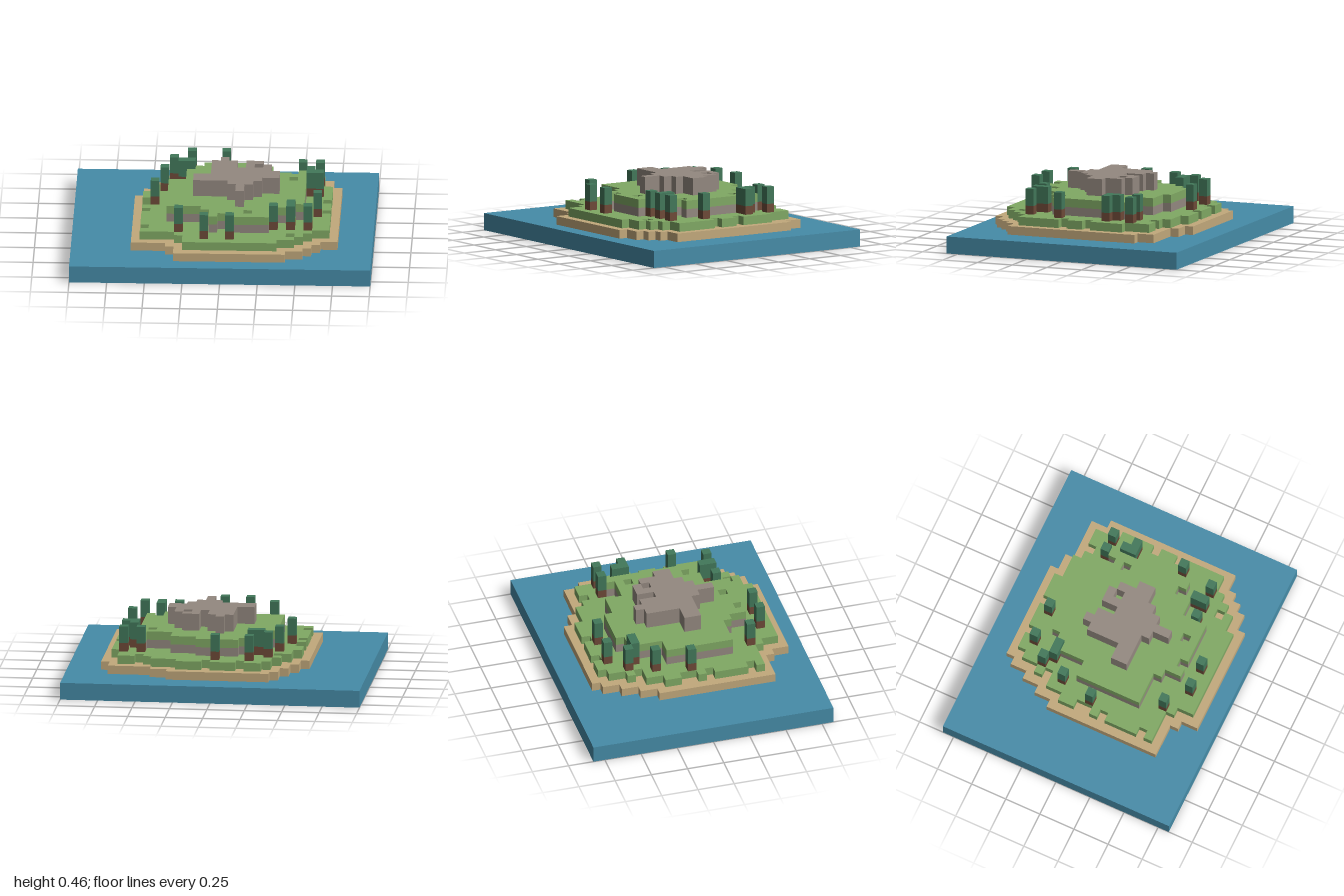
import * as THREE from 'three';

const CELL = 2 / 35, NX = 35, NZ = 29;

const mat = (name, color) => {
  const m = new THREE.MeshStandardMaterial({ color });
  m.name = name;
  return m;
};

// Footprints: one line per row of cells from back to front, "start-end" runs along x.
const BEACH = { first: 3, rows: `11-23|10-25|10-30|9-30|9-31|8-31|8-31|7-31|7-31|7-31|7-31|7-31|7-31
|7-31|7-31|7-31|7-31|7-31|7-31|7-31|7-29|11-28|12-27|12-25` };
const MEADOW = { first: 4, rows: `12-14,15-18,19-22|11-25|11-26,27-29|10-29|11-29|9-30|9-30|8-30|8-30|9-29
|9-30|8-30|9-29|8-30|8-30|8-30|8-30|9-30|8-28|12-25,26-27|13-26|13-24` };
const PLATEAU = { first: 7, rows: `15-20|14-23|13-23,26-27|13-27|13-25,26-27|11-27|11-27|11-27|11-27|11-27
|11-27|11-25,26-27|11-25|15-23|16-20,21-23|16-17,18-23` };
const PEAK = { first: 10, rows: `17-18|16-19,20-22|16-19,20-21,22-23|16-23|16-24|14-24|14-22|18-21|19-20|19-20` };

// Tree positions as [column, row]
const TREES = [[13, 5], [17, 5], [11, 7], [12, 8], [13, 8], [26, 8], [28, 8], [10, 10], [27, 10], [27, 11],
  [28, 11], [9, 14], [28, 17], [25, 20], [25, 21], [23, 21], [27, 21], [12, 22], [15, 24], [18, 24]];

function cellsOf({ first, rows }) {
  const cells = [];
  rows.split('|').forEach((row, r) => {
    for (const run of row.trim().split(',')) {
      const [a, b] = run.split('-').map(Number);
      for (let i = a; i < b; i++) cells.push([i, first + r]);
    }
  });
  return cells;
}

const key = (i, k, j) => `${i},${k},${j}`;

// Each face: outward direction and two edge directions whose cross product is the outward one
const FACES = [];
for (let a = 0; a < 3; a++) {
  for (const s of [1, -1]) {
    const axis = (n, v) => [0, 1, 2].map((c) => (c === n ? v : 0));
    const u = axis((a + 1) % 3, 1), v = axis((a + 2) % 3, 1);
    FACES.push({ n: axis(a, s), u: s > 0 ? u : v, v: s > 0 ? v : u });
  }
}

// Builds only the exposed faces of a set of blocks
function blockGeometry(blocks, solid) {
  const pos = [], nor = [], idx = [];
  for (const b of blocks) {
    for (const { n, u, v } of FACES) {
      if (solid.has(key(b[0] + n[0], b[1] + n[1], b[2] + n[2]))) continue;
      const at = pos.length / 3;
      for (const [p, q] of [[0, 0], [1, 0], [1, 1], [0, 1]]) {
        const c = [0, 1, 2].map((d) => b[d] + Math.max(n[d], 0) + p * u[d] + q * v[d]);
        pos.push((c[0] - NX / 2) * CELL, c[1] * CELL, (c[2] - NZ / 2) * CELL);
        nor.push(...n);
      }
      idx.push(at, at + 1, at + 2, at, at + 2, at + 3);
    }
  }
  const g = new THREE.BufferGeometry();
  g.setAttribute('position', new THREE.Float32BufferAttribute(pos, 3));
  g.setAttribute('normal', new THREE.Float32BufferAttribute(nor, 3));
  g.setIndex(idx);
  return g;
}

export function createModel() {
  const water = mat('water blue', 0x468ca8);
  const sand = mat('sand', 0xc2a97c);
  const grass = mat('grass green', 0x80a964);
  const rock = mat('rock grey', 0x948980);
  const bark = mat('bark brown', 0x6e4a38);
  const leaf = mat('leaf green', 0x42785a);

  const beach = cellsOf(BEACH), plateau = cellsOf(PLATEAU);
  const island = new Set(beach.map((c) => c.join()));
  const sea = [];
  for (let i = 0; i < NX; i++) {
    for (let j = 0; j < NZ; j++) if (!island.has(`${i},${j}`)) sea.push([i, j]);
  }

  // Name, material, footprint, bottom and top level in cells
  const layers = [
    ['sea', water, sea, 0, 2],
    ['bedrock', rock, beach, 0, 2],
    ['beach', sand, beach, 2, 3],
    ['meadow', grass, cellsOf(MEADOW), 3, 4],
    ['cliff', rock, plateau, 4, 5],
    ['plateauGrass', grass, plateau, 5, 6],
    ['peak', rock, cellsOf(PEAK), 6, 8],
    ['treeTrunks', bark, TREES, 4, 5],
    ['treeCrowns', leaf, TREES, 5, 7],
  ];

  // Trees standing at the plateau edge take the place of its blocks
  const trees = new Set(TREES.map((c) => c.join()));
  const solid = new Set();
  const parts = layers.map(([name, material, cells, from, to]) => {
    const blocks = [];
    for (const [i, j] of cells) {
      if (cells === plateau && trees.has(`${i},${j}`)) continue;
      for (let k = from; k < to; k++) {
        blocks.push([i, k, j]);
        solid.add(key(i, k, j));
      }
    }
    return { name, material, blocks };
  });

  const model = new THREE.Group();
  model.name = 'blockIsland';
  for (const { name, material, blocks } of parts) {
    const mesh = new THREE.Mesh(blockGeometry(blocks, solid), material);
    mesh.name = name;
    model.add(mesh);
  }
  return model;
}
